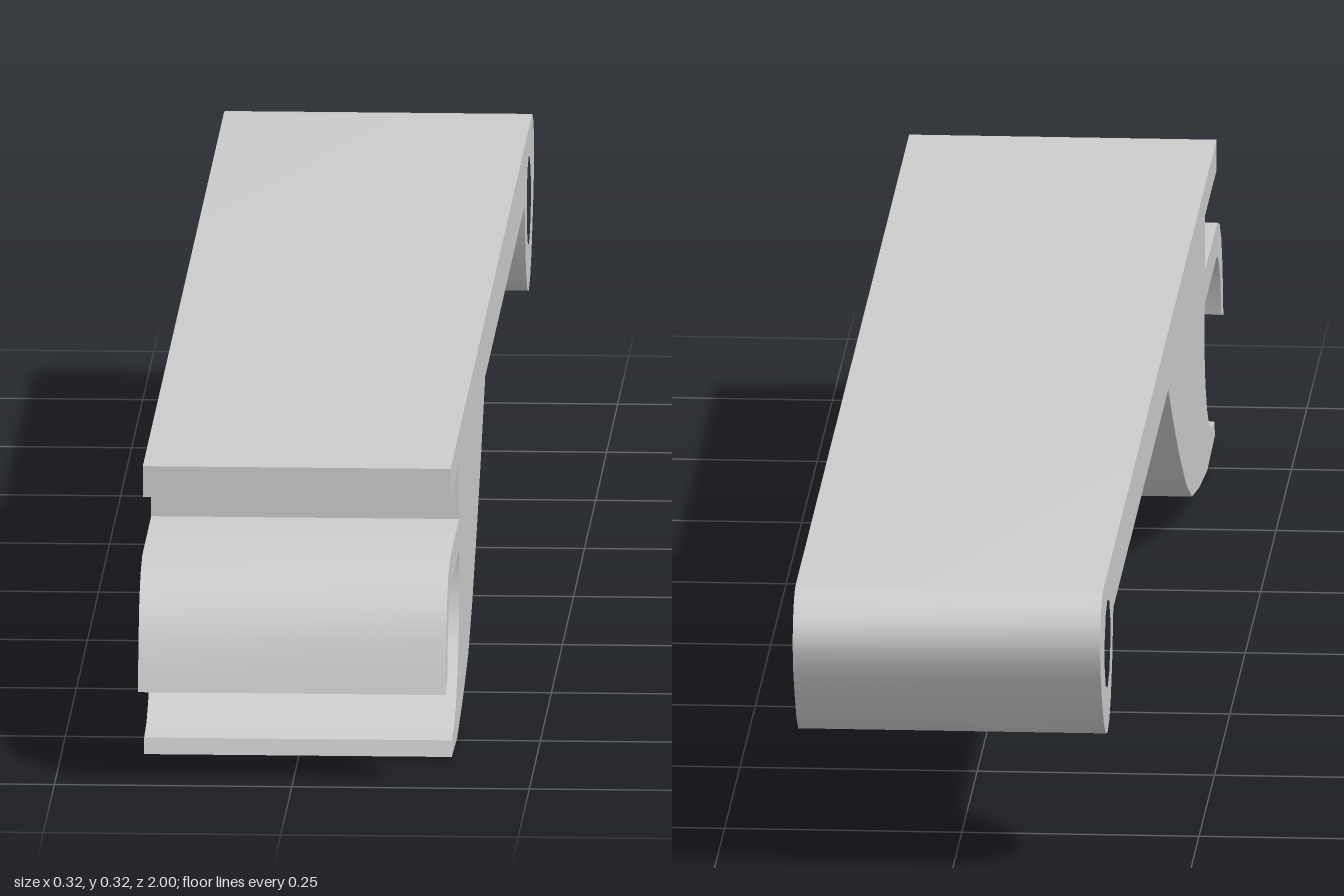
import * as THREE from 'three';
import { toCreasedNormals } from 'three/addons/utils/BufferGeometryUtils.js';

const WIDTH = 0.324;

// Side profile sections as [z, y], running round the outline
const tongue = [[0.89, 0.32], [0.89, 0.287], [0.7, 0.287], [0.7, 0.227]];
const hookOuter = [[0.9, 0.227], [0.94, 0.215], [0.967, 0.193], [0.987, 0.155], [1, 0.1]];
const hookInner = [[0.965, 0.11], [0.955, 0.145], [0.935, 0.17], [0.91, 0.187], [0.89, 0.192], [0.7, 0.192]];
const jaw = [[0.692, 0.165], [0.7, 0.12], [0.714, 0.095], [0.735, 0.068], [0.767, 0.043], [0.805, 0.028], [0.858, 0.022], [0.862, 0.005]];
const belly = [[0.74, 0], [0.61, 0.016], [0.49, 0.038], [0.4, 0.075], [0.29, 0.135], [0.195, 0.195], [0.105, 0.257]];
const barrel = [
  [-0.785, 0.257], [-0.803, 0.205], [-0.825, 0.17], [-0.85, 0.152], [-0.88, 0.146], [-0.91, 0.153], [-0.94, 0.173],
  [-0.97, 0.207], [-0.99, 0.235], [-0.998, 0.258], [-1, 0.272], [-0.995, 0.293], [-0.98, 0.31], [-0.965, 0.318], [-0.945, 0.32],
];

const toPoints = (list) => list.map(([z, y]) => new THREE.Vector2(z, y));

// Regular polygon hole with one corner at the top
function pinHole(z, y, radius, sides) {
  const pts = [];
  for (let i = 0; i < sides; i++) {
    const a = Math.PI / 2 - (i / sides) * Math.PI * 2;
    pts.push(new THREE.Vector2(z + radius * Math.cos(a), y + radius * Math.sin(a)));
  }
  return new THREE.Path(pts);
}

export function createModel() {
  const group = new THREE.Group();
  group.name = 'leverArm';

  // One profile: slotted hook end, curved belly, flat arm and hinge barrel
  const shape = new THREE.Shape(toPoints([...tongue, ...hookOuter, ...hookInner, ...jaw, ...belly, ...barrel]));
  shape.holes.push(pinHole(-0.88, 0.243, 0.048, 10));

  // Extrude across the width, then turn the profile to face sideways
  const geometry = new THREE.ExtrudeGeometry(shape, { depth: WIDTH, bevelEnabled: false });
  geometry.translate(0, 0, -WIDTH / 2);
  geometry.rotateY(-Math.PI / 2);

  const arm = new THREE.Mesh(
    toCreasedNormals(geometry, 0.58),
    new THREE.MeshStandardMaterial({ color: 0xcccccc }),
  );
  arm.name = 'hookedArmWithHinge';
  group.add(arm);
  return group;
}
